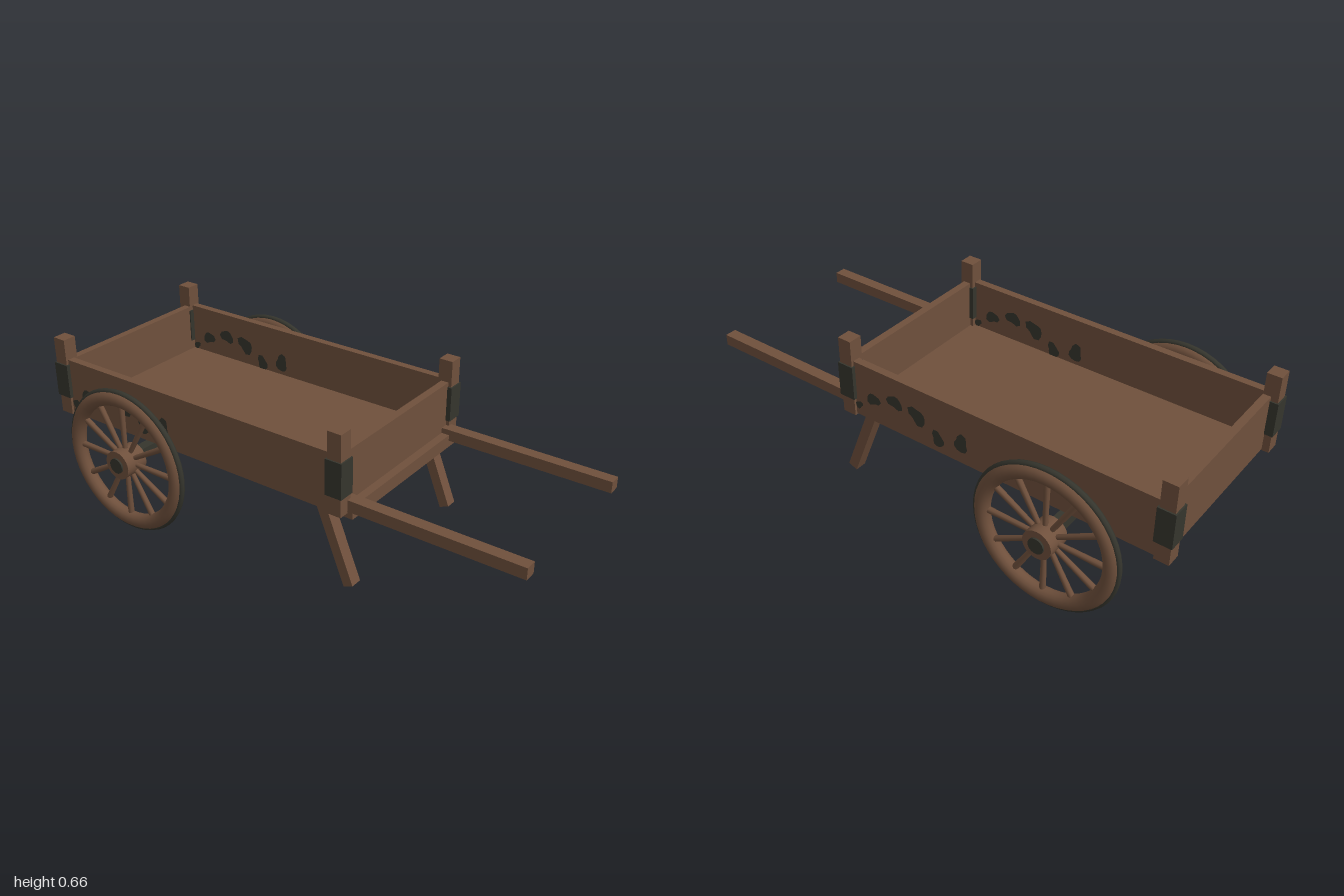
import * as THREE from 'three';

const wood = new THREE.MeshStandardMaterial({ color: 0x6f503c });
wood.name = 'wood';
const iron = new THREE.MeshStandardMaterial({ color: 0x35352d });
iron.name = 'iron';

function add(parent, name, geometry, material, x = 0, y = 0, z = 0) {
  const mesh = new THREE.Mesh(geometry, material);
  mesh.name = name;
  mesh.position.set(x, y, z);
  parent.add(mesh);
  return mesh;
}

// Box given by its minimum and maximum corners
function box(parent, name, material, [x0, y0, z0], [x1, y1, z1]) {
  return add(parent, name, new THREE.BoxGeometry(x1 - x0, y1 - y0, z1 - z0), material,
    (x0 + x1) / 2, (y0 + y1) / 2, (z0 + z1) / 2);
}

// Cylinder lying along z
function zCylinder(parent, name, radius, length, material) {
  const g = new THREE.CylinderGeometry(radius, radius, length, 24).rotateX(Math.PI / 2);
  return add(parent, name, g, material);
}

function createWheel() {
  const wheel = new THREE.Group();
  wheel.name = 'wheel';
  // Rounded wooden rim with a narrow iron tyre
  const rim = new THREE.TorusGeometry(0.25, 0.029, 14, 48);
  rim.scale(1, 1, 0.92);
  add(wheel, 'rim', rim, wood);
  add(wheel, 'tyre', new THREE.TorusGeometry(0.275, 0.012, 8, 48), iron);
  // Spokes
  for (let i = 0; i < 12; i++) {
    const g = new THREE.CylinderGeometry(0.012, 0.009, 0.2, 8);
    g.translate(0, 0.135, 0).rotateZ(i * Math.PI / 6);
    add(wheel, 'spoke', g, wood);
  }
  // Hub and iron axle ends
  zCylinder(wheel, 'hub', 0.056, 0.094, wood);
  zCylinder(wheel, 'hubCap', 0.03, 0.108, iron);
  return wheel;
}

// Irregular dark patches, measured from the left end of a wall face
const patches = [
  [0.05, 0.40, 0.016], [0.12, 0.45, 0.027], [0.22, 0.48, 0.03],
  [0.32, 0.465, 0.035], [0.41, 0.41, 0.028], [0.51, 0.435, 0.032],
];

function createPatches() {
  const group = new THREE.Group();
  group.name = 'wallPatches';
  patches.forEach(([d, y, r], k) => {
    const points = [];
    for (let i = 0; i < 12; i++) {
      const a = i * Math.PI / 6;
      const s = r * (1 + 0.22 * Math.sin(2 * a + k) + 0.15 * Math.sin(3 * a + 2 * k));
      points.push(new THREE.Vector2(s * Math.cos(a), s * Math.sin(a)));
    }
    add(group, 'patch', new THREE.ShapeGeometry(new THREE.Shape(points)), iron, d - 0.645, y, 0);
  });
  return group;
}

export function createModel() {
  const cart = new THREE.Group();
  cart.name = 'handcart';

  // Cart bed
  box(cart, 'floor', wood, [-0.96, 0.355, -0.35], [0.32, 0.385, 0.35]);
  box(cart, 'rearWall', wood, [-0.968, 0.355, -0.34], [-0.938, 0.575, 0.34]);
  box(cart, 'frontWall', wood, [0.298, 0.355, -0.34], [0.328, 0.575, 0.34]);
  box(cart, 'crossbeam', wood, [0.305, 0.33, -0.333], [0.36, 0.38, 0.333]);
  box(cart, 'axle', iron, [-0.608, 0.272, -0.4], [-0.567, 0.314, 0.4]);

  for (const s of [1, -1]) {
    const wall = box(cart, 'sideWall', wood, [-0.968, 0.355, -0.015], [0.328, 0.577, 0.015]);
    wall.position.z = s * 0.35;

    // Patches on both faces of the wall
    for (const f of [1, -1]) {
      const p = createPatches();
      p.position.set(-0.325, 0, s * 0.35 + f * 0.017);
      if (f < 0) p.rotation.y = Math.PI;
      cart.add(p);
    }

    // Corner posts with iron bands
    for (const x of [-0.967, 0.313]) {
      add(cart, 'cornerPost', new THREE.BoxGeometry(0.055, 0.31, 0.055), wood, x, 0.505, s * 0.347);
      add(cart, 'postBand', new THREE.BoxGeometry(0.066, 0.136, 0.066), iron, x, 0.49, s * 0.347);
    }

    // Pull handle and slanted prop leg
    add(cart, 'handle', new THREE.BoxGeometry(0.69, 0.044, 0.046), wood, 0.655, 0.379, s * 0.313);
    const leg = add(cart, 'propLeg', new THREE.BoxGeometry(0.04, 0.316, 0.046), wood, 0.294, 0.209, s * 0.321);
    leg.rotation.z = 0.382;

    const wheel = createWheel();
    wheel.position.set(-0.587, 0.29, s * 0.441);
    cart.add(wheel);
  }
  return cart;
}
